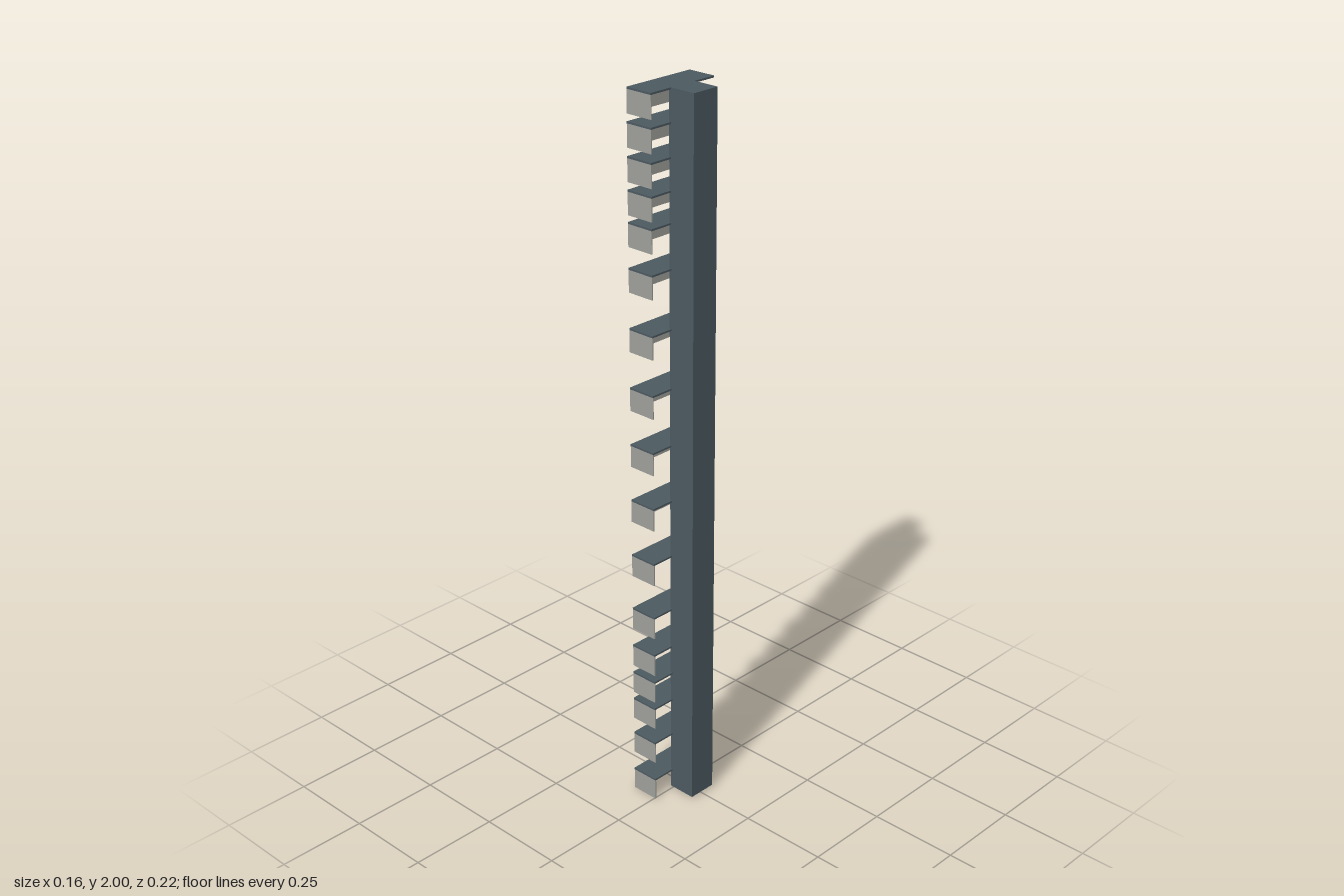
import * as THREE from 'three';

export function createModel() {
  const root = new THREE.Group();
  root.name = 'signPost';
  const slate = new THREE.MeshStandardMaterial({ color: 0x4c5a61 });
  slate.name = 'slate';
  const grey = new THREE.MeshStandardMaterial({ color: 0xa0a19c });
  grey.name = 'paleGrey';

  const box = (name, mat, x0, x1, y0, y1, z0, z1, parent) => {
    const mesh = new THREE.Mesh(new THREE.BoxGeometry(x1 - x0, y1 - y0, z1 - z0), mat);
    mesh.position.set((x0 + x1) / 2, (y0 + y1) / 2, (z0 + z1) / 2);
    mesh.name = name;
    parent.add(mesh);
  };

  // square upright
  box('post', slate, -0.003, 0.078, 0.008, 2, -0.041, 0.041, root);

  // angled hoods: a dark cover with a pale side and front end hanging below it
  const tops = [2, 1.916, 1.83, 1.746, 1.664, 1.545, 1.385, 1.223, 1.064,
    0.904, 0.742, 0.58, 0.465, 0.38, 0.296, 0.185, 0.066];
  const drop = 0.06, cover = 0.005, wall = 0.003;
  const x0 = -0.078, x1 = 0.003, halfZ = 0.109;
  for (const top of tops) {
    const hood = new THREE.Group();
    hood.name = 'hood';
    const bottom = Math.max(0, top - drop - cover);
    box('hoodCover', slate, x0, x1, top - cover, top, -halfZ, halfZ, hood);
    box('hoodSide', grey, x0, x0 + wall, bottom, top - cover, -halfZ, halfZ, hood);
    box('hoodEnd', grey, x0 + wall, x1, bottom, top - cover, halfZ - wall, halfZ, hood);
    root.add(hood);
  }
  return root;
}
